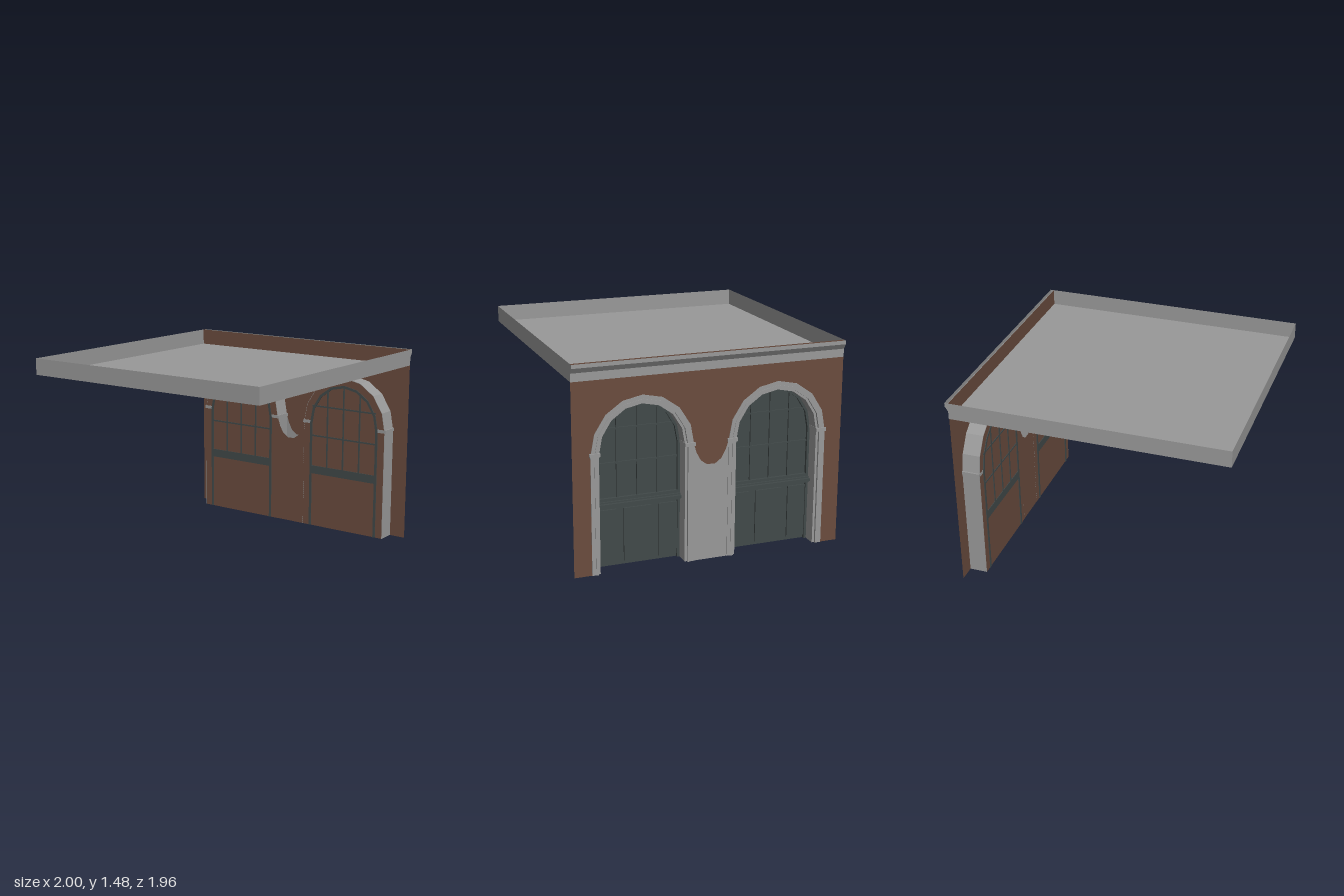
import * as THREE from 'three';

const W = 0.98, TOP = 1.475, ROOF = 1.355, SPRING = 0.84, BAY = 0.49, WALL = 0.973;

const mat = (name, color, side = THREE.FrontSide) => {
  const m = new THREE.MeshStandardMaterial({ color, side });
  m.name = name;
  return m;
};

export function createModel() {
  const stone = mat('stone grey', 0x999999);
  const sheet = mat('roof grey', 0x999999, THREE.DoubleSide);
  const brick = mat('brick brown', 0x6b4c3e, THREE.DoubleSide);
  const paint = mat('dark door paint', 0x414949);

  const model = new THREE.Group();
  model.name = 'arcadeFacade';

  const add = (parent, name, geometry, material) => {
    const mesh = new THREE.Mesh(geometry, material);
    mesh.name = name;
    parent.add(mesh);
    return mesh;
  };

  // Box given by its limits
  const box = (parent, name, m, x0, x1, y0, y1, z0, z1) => {
    const g = new THREE.BoxGeometry(x1 - x0, y1 - y0, z1 - z0);
    g.translate((x0 + x1) / 2, (y0 + y1) / 2, (z0 + z1) / 2);
    return add(parent, name, g, m);
  };

  // Facade shapes are drawn facing +x: drawn right is -z, depth runs along x
  const v = (x, y) => new THREE.Vector2(x, y);
  const flat = (points, x) =>
    new THREE.ShapeGeometry(new THREE.Shape(points)).rotateY(Math.PI / 2).translate(x, 0, 0);
  const slab = (points, x0, x1) =>
    new THREE.ExtrudeGeometry(new THREE.Shape(points), { depth: x1 - x0, bevelEnabled: false })
      .rotateY(Math.PI / 2).translate(x0, 0, 0);

  // Faceted arch outline from the left foot over the top to the right foot
  const arch = (a, centre = 0, foot = 0) => {
    const pts = [v(centre - a, foot)];
    for (let i = 0; i <= 8; i++) {
      const t = Math.PI * (1 - i / 8);
      pts.push(v(centre + a * Math.cos(t), SPRING + (a + 0.022) * Math.sin(t)));
    }
    pts.push(v(centre + a, foot));
    return pts;
  };
  const ring = (aOut, aIn, x0, x1) => slab([...arch(aOut), ...arch(aIn).reverse()], x0, x1);

  // Rounded lower edge of the brick between the arches
  const dip = [v(-0.125, 0.84), v(-0.105, 0.78), v(-0.075, 0.725), v(-0.03, 0.692),
    v(0.03, 0.692), v(0.075, 0.725), v(0.105, 0.78), v(0.125, 0.84)];

  // Brick wall
  add(model, 'brickWall', flat([
    v(-W, 0), ...arch(0.362, -BAY), v(-0.128, 0.84), ...dip, v(0.128, 0.84),
    ...arch(0.362, BAY), v(W, 0), v(W, TOP), v(-W, TOP),
  ].filter((p) => !(Math.abs(Math.abs(p.x) - 0.128) < 1e-4 && p.y < 0.5)), WALL), brick);

  // Stone pier between the arches, with a brick back
  const pier = [v(-0.13, 0), v(0.13, 0), v(0.13, 0.84), ...dip.slice().reverse(), v(-0.13, 0.84)];
  add(model, 'pierFront', flat(pier, WALL), sheet);
  add(model, 'pierBack', flat(pier, 0.842), brick);

  // Arched door bays
  for (const side of [-1, 1]) {
    const bay = new THREE.Group();
    bay.name = side > 0 ? 'leftDoorBay' : 'rightDoorBay';
    bay.position.z = side * BAY;
    model.add(bay);

    // Stepped stone surround
    add(bay, 'outerSurround', ring(0.365, 0.338, 0.842, 0.978), stone);
    add(bay, 'middleSurround', ring(0.338, 0.32, 0.842, 0.982), stone);
    add(bay, 'innerSurround', ring(0.32, 0.303, 0.842, 0.966), stone);
    for (const s of [-1, 1]) {
      const z = s * 0.335;
      box(bay, 'capital', stone, 0.84, 0.986, 0.835, 0.86, z - 0.037, z + 0.037);
    }

    // Door leaf, arched frame and brick back
    add(bay, 'doorAndWindow', flat(arch(0.305), 0.852), paint);
    add(bay, 'doorBack', flat(arch(0.362), 0.841), brick);
    add(bay, 'windowFrame', ring(0.305, 0.285, 0.836, 0.872), paint);

    // Transom
    box(bay, 'transom', paint, 0.836, 0.885, 0.43, 0.475, -0.304, 0.304);
    box(bay, 'transomLip', paint, 0.836, 0.905, 0.445, 0.465, -0.304, 0.304);
    box(bay, 'windowSill', paint, 0.836, 0.872, 0.475, 0.495, -0.304, 0.304);

    // Glazing bars
    for (const y of [0.74, 0.98])
      box(bay, 'horizontalBar', paint, 0.836, 0.864, y - 0.006, y + 0.006, -0.285, 0.285);
    for (const z of [-0.145, 0, 0.145])
      box(bay, 'verticalBar', paint, 0.836, 0.864, 0.49, z ? 1.11 : 1.15, z - 0.006, z + 0.006);

    // Raised door panels
    for (const [z, w] of [[-0.22, 0.14], [0, 0.2], [0.22, 0.14]])
      box(bay, 'doorPanel', paint, 0.85, 0.864, 0.025, 0.41, z - w / 2, z + w / 2);
  }

  // Flat roof with thin upstands on three sides
  const roof = new THREE.PlaneGeometry(1 + WALL, 2 * W).rotateX(-Math.PI / 2);
  add(model, 'roofDeck', roof, sheet).position.set((WALL - 1) / 2, ROOF, 0);
  const h = TOP - ROOF, midY = (TOP + ROOF) / 2;
  for (const s of [-1, 1])
    add(model, 'sideParapet', new THREE.PlaneGeometry(1 + WALL, h), sheet)
      .position.set((WALL - 1) / 2, midY, s * W);
  add(model, 'backParapet', new THREE.PlaneGeometry(2 * W, h).rotateY(-Math.PI / 2), sheet)
    .position.set(-1, midY, 0);

  // Cornice, open at the top
  const profile = [[0.976, ROOF], [0.976, 1.412], [1, 1.448], [1, TOP]];
  const pos = [];
  for (let i = 0; i < 3; i++) {
    const [[x0, y0], [x1, y1]] = [profile[i], profile[i + 1]];
    pos.push(x0, y0, W, x0, y0, -W, x1, y1, -W, x0, y0, W, x1, y1, -W, x1, y1, W);
  }
  const cornice = new THREE.BufferGeometry();
  cornice.setAttribute('position', new THREE.Float32BufferAttribute(pos, 3));
  cornice.computeVertexNormals();
  add(model, 'cornice', cornice, sheet);
  const end = new THREE.Shape([...profile.map(([x, y]) => v(x, y)), v(WALL, TOP), v(WALL, ROOF)]);
  for (const s of [-1, 1])
    add(model, 'corniceEnd', new THREE.ShapeGeometry(end), sheet).position.z = s * W;

  return model;
}
